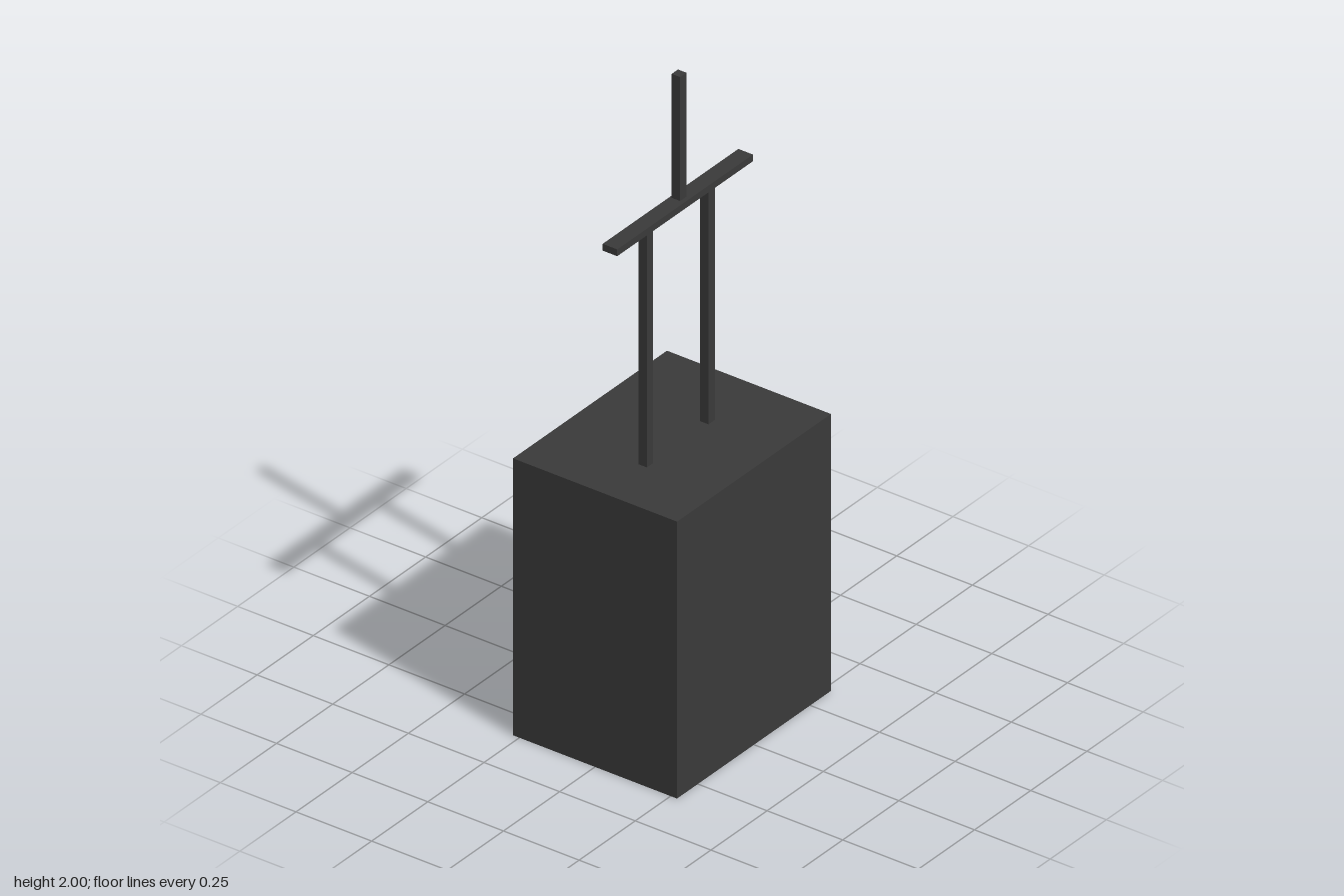
import * as THREE from 'three';

export function createModel() {
  const model = new THREE.Group();
  const material = new THREE.MeshStandardMaterial({ color: 0x3a3a3a, side: THREE.DoubleSide });

  // A box standing on height y
  function addBox(name, [w, h, d], [x, y, z]) {
    const geometry = new THREE.BoxGeometry(w, h, d);
    const mesh = new THREE.Mesh(geometry, material);
    mesh.name = name;
    mesh.position.set(x, y + h / 2, z);
    model.add(mesh);
    return mesh;
  }

  const baseTop = 0.86, barBottom = 1.594, barTop = 1.615;
  const post = 0.028, postX = 0.028;

  // Base block, hollow and open underneath: drop the bottom face (the fourth)
  const base = addBox('base', [0.542, baseTop, 0.685], [0, 0, 0]);
  const faces = Array.from(base.geometry.index.array);
  faces.splice(18, 6);
  base.geometry.setIndex(faces);
  base.geometry.clearGroups();

  // Two uprights carrying the crossbar
  addBox('frontPost', [post, barBottom - baseTop, post], [postX, baseTop, 0.154]);
  addBox('backPost', [post, barBottom - baseTop, post], [postX, baseTop, -0.12]);
  addBox('crossbar', [0.048, barTop - barBottom, 0.604], [0.031, barBottom, 0.016]);

  // Single mast on top
  addBox('mast', [post, 2 - barTop, post], [postX, barTop, 0.006]);

  return model;
}
